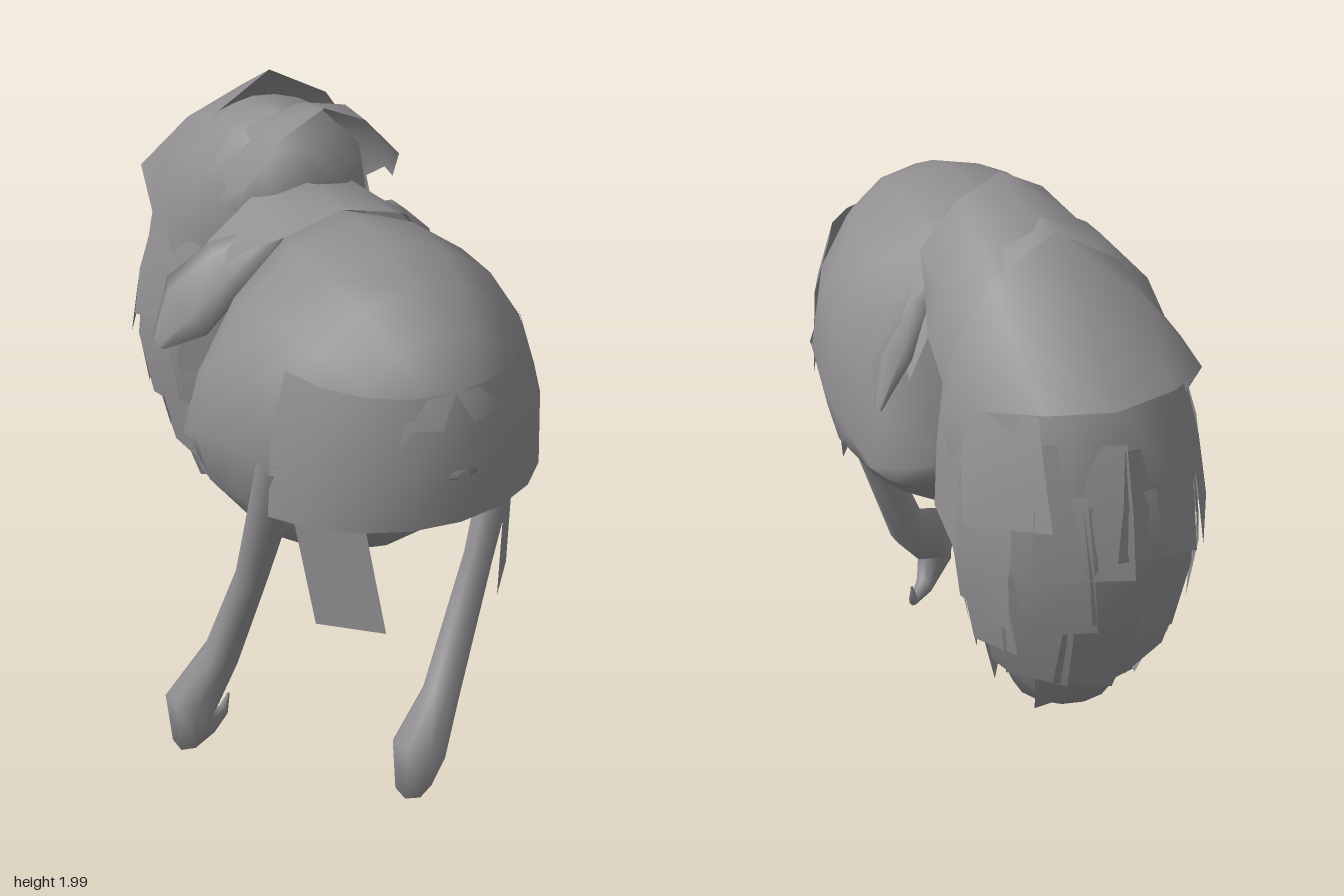
import * as THREE from 'three';

const hide = new THREE.MeshStandardMaterial({ color: 0x918f92, side: THREE.DoubleSide });
hide.name = 'greyHide';

// Skin a list of rows of [x, y, z] points; closed rows wrap around.
function loft(name, rows, closed = true) {
  const n = rows[0].length, pos = rows.flat(2), idx = [];
  for (let i = 0; i < rows.length - 1; i++) {
    for (let j = 0; j < (closed ? n : n - 1); j++) {
      const k = (j + 1) % n, a = i * n + j, b = i * n + k, c = a + n, d = b + n;
      idx.push(a, c, b, b, c, d);
    }
  }
  const g = new THREE.BufferGeometry();
  g.setAttribute('position', new THREE.Float32BufferAttribute(pos, 3));
  g.setIndex(idx);
  g.computeVertexNormals();
  const m = new THREE.Mesh(g, hide);
  m.name = name;
  return m;
}

const ring = (n, f) => Array.from({ length: n }, (_, i) => f(i / n * Math.PI * 2));
const power = (v, e) => Math.sign(v) * Math.abs(v) ** e;

// Mirror a half arch that starts at the centre line.
const arch = half => [...half.slice(1).reverse().map(([x, y, z]) => [-x, y, z]), ...half];

// Tapered limb through [x, y, z, radius] stations, kept square to the path.
function limb(name, stations, side, n, flat) {
  const p = stations.map(s => new THREE.Vector3(s[0], s[1], s[2]));
  const rows = p.map((c, i) => {
    const t = p[Math.min(i + 1, p.length - 1)].clone().sub(p[Math.max(i - 1, 0)]).normalize();
    const u = side.clone().addScaledVector(t, -side.dot(t)).normalize();
    const v = t.clone().cross(u), r = stations[i][3];
    return ring(n, a => c.clone().addScaledVector(u, r * Math.cos(a))
      .addScaledVector(v, r * flat * Math.sin(a)).toArray());
  });
  return loft(name, rows);
}

// Hanging rear mass: height, centre along the body, half width, half depth.
const core = [
  [0.41, -0.48, 0.02, 0.02], [0.42, -0.48, 0.16, 0.16], [0.6, -0.51, 0.24, 0.24],
  [0.82, -0.54, 0.31, 0.31], [1.05, -0.54, 0.37, 0.37], [1.3, -0.51, 0.37, 0.39],
  [1.55, -0.46, 0.34, 0.39], [1.74, -0.38, 0.28, 0.33], [1.87, -0.32, 0.16, 0.2], [1.92, -0.3, 0.01, 0.01]];

function corePoint(angle, y, out) {
  let i = 0;
  while (i < core.length - 2 && core[i + 1][0] < y) i++;
  const t = (y - core[i][0]) / (core[i + 1][0] - core[i][0]);
  const at = k => THREE.MathUtils.lerp(core[i][k], core[i + 1][k], Math.max(0, t));
  return [(at(2) + out) * Math.sin(angle) + 0.02, y, at(1) + (at(3) + out) * Math.cos(angle)];
}

export function createModel() {
  const model = new THREE.Group();
  model.name = 'creature';

  // The trunk is turned towards the model's left; z runs along it.
  const trunk = new THREE.Group();
  trunk.name = 'trunk';
  trunk.rotation.y = 0.927;
  model.add(trunk);

  // Front body, pointed low at the rear corners and round in front:
  // position, height of widest point, half width, rise, drop, pointedness
  const sections = [
    [-0.1, 1.02, 0.05, 0.03, 0.03, 1], [-0.1, 1.02, 0.43, 0.12, 0.06, 1.2], [0, 1.03, 0.47, 0.6, 0.2, 1.4],
    [0.1, 1.1, 0.5, 0.67, 0.36, 1.2], [0.25, 1.2, 0.53, 0.6, 0.5, 1.05], [0.45, 1.26, 0.5, 0.54, 0.55, 1],
    [0.62, 1.27, 0.43, 0.5, 0.5, 1], [0.78, 1.29, 0.32, 0.41, 0.41, 1], [0.89, 1.31, 0.2, 0.26, 0.26, 1],
    [0.95, 1.32, 0.02, 0.02, 0.02, 1]];
  trunk.add(loft('body', sections.map(([d, cy, rx, up, down, e]) => ring(16, a => {
    const s = power(Math.sin(a), e);
    return [rx * power(Math.cos(a), e), cy + (s > 0 ? up : down) * s,
      d - Math.max(0, d - 0.3) * 0.4 * Math.max(0, -s)];
  }))));

  // Skirt around the front of the body
  const skirtRows = [[1.57, 0.4, 0.44], [1.38, 0.455, 0.5], [1.16, 0.47, 0.495]];
  trunk.add(loft('skirt', skirtRows.map(([y, rx, rz], r) => Array.from({ length: 9 }, (_, i) => {
    const a = (i / 4 - 1) * 1.28;
    return [rx * Math.sin(a), y - (r === 2 ? 0.07 * (i / 4 - 1) ** 2 : 0), 0.45 + rz * Math.cos(a)];
  })), false));

  // Rear mass
  trunk.add(loft('rearMass', core.map(([y]) => ring(14, a => corePoint(a, y, 0)))));

  // Layers of hanging hair: top height, length, card count, width angle
  const layers = [[1.45, 0.36, 9, 0.36], [1.25, 0.42, 11, 0.3], [1.02, 0.4, 10, 0.34], [0.75, 0.35, 7, 0.5]];
  layers.forEach(([top, length, count, w], l) => {
    for (let i = 0; i < count; i++) {
      const a = (i + l * 0.4) / count * Math.PI * 2;
      const wob = Math.sin(i * 4.7 + l * 2.3);
      const y0 = top + wob * 0.05, len = length * (1 + 0.12 * Math.cos(i * 3.1 + l));
      const rows = [0, 0.5, 1].map(t => [-w, w].map(o =>
        corePoint(a + o + wob * 0.12 * t, Math.max(0.38, y0 - len * t + o * wob * 0.08), 0.01 + 0.045 * t)));
      trunk.add(loft('hairCard', rows, false));
    }
  });

  // Arched hoods over the shoulders, set slightly to one side
  const hoods = new THREE.Group();
  hoods.name = 'hoods';
  hoods.position.x = 0.07;
  hoods.add(loft('frontHood', [
    arch([[0, 2, -0.1], [0.14, 1.93, -0.1], [0.26, 1.79, -0.1], [0.27, 1.68, -0.16]]),
    arch([[0, 1.95, -0.26], [0.16, 1.9, -0.28], [0.28, 1.77, -0.3], [0.33, 1.62, -0.33]]),
    arch([[0, 1.82, -0.5], [0.18, 1.78, -0.51], [0.31, 1.65, -0.52], [0.34, 1.5, -0.5]])], false));
  hoods.add(loft('rearHood', [
    arch([[0, 1.96, -0.5], [0.2, 1.84, -0.5], [0.32, 1.65, -0.5], [0.36, 1.42, -0.48]]),
    arch([[0, 1.82, -0.71], [0.22, 1.77, -0.66], [0.34, 1.63, -0.64], [0.36, 1.39, -0.54]]),
    arch([[0, 1.58, -0.92], [0.2, 1.59, -0.88], [0.35, 1.58, -0.76], [0.36, 1.35, -0.58]])], false));
  trunk.add(hoods);

  // Collar across the neck
  trunk.add(loft('collar', [
    arch([[0, 1.8, 0.17], [0.18, 1.74, 0.15], [0.28, 1.66, 0.05], [0.38, 1.52, -0.04]]),
    arch([[0, 1.77, -0.12], [0.16, 1.73, -0.14], [0.3, 1.6, -0.16], [0.4, 1.4, -0.17]])], false));

  for (const s of [-1, 1]) {
    // Broad drooping tufts beside the collar
    trunk.add(limb('tuft', [
      [s * 0.14, 1.69, 0.03, 0.03], [s * 0.3, 1.57, -0.03, 0.1],
      [s * 0.41, 1.44, -0.08, 0.12], [s * 0.49, 1.3, -0.13, 0.03]], new THREE.Vector3(0, -0.7, 0.8), 6, 0.4));
    // Straps under the skirt, sweeping forward
    const strap = new THREE.Mesh(new THREE.PlaneGeometry(0.24, 0.42), hide);
    strap.name = 'strap';
    strap.position.set(s * 0.29, 0.94, 0.72);
    strap.rotation.set(0, s * 0.927, -s * 0.2, 'YXZ');
    strap.position.z += s < 0 ? 0.02 : 0;
    trunk.add(strap);
  }

  // Legs, each ending in a curled claw
  const across = new THREE.Vector3(1, 0, 0);
  model.add(limb('rightLeg', [
    [0.21, 1.25, 0.63, 0.075], [0.08, 0.75, 0.6, 0.052], [-0.06, 0.36, 0.555, 0.062], [-0.1, 0.24, 0.69, 0.085],
    [-0.1, 0.13, 0.7, 0.06], [-0.1, 0.065, 0.58, 0.032], [-0.1, 0.05, 0.49, 0.018], [-0.09, 0.11, 0.47, 0.004]],
  across, 8, 1.25));
  model.add(limb('leftLeg', [
    [0.68, 1.25, 0.0, 0.062], [0.66, 0.75, 0.19, 0.048], [0.635, 0.33, 0.385, 0.062], [0.635, 0.22, 0.54, 0.09],
    [0.63, 0.11, 0.56, 0.06], [0.61, 0.05, 0.45, 0.032], [0.6, 0.04, 0.36, 0.018], [0.6, 0.1, 0.35, 0.004]],
  across, 8, 1.2));

  return model;
}
